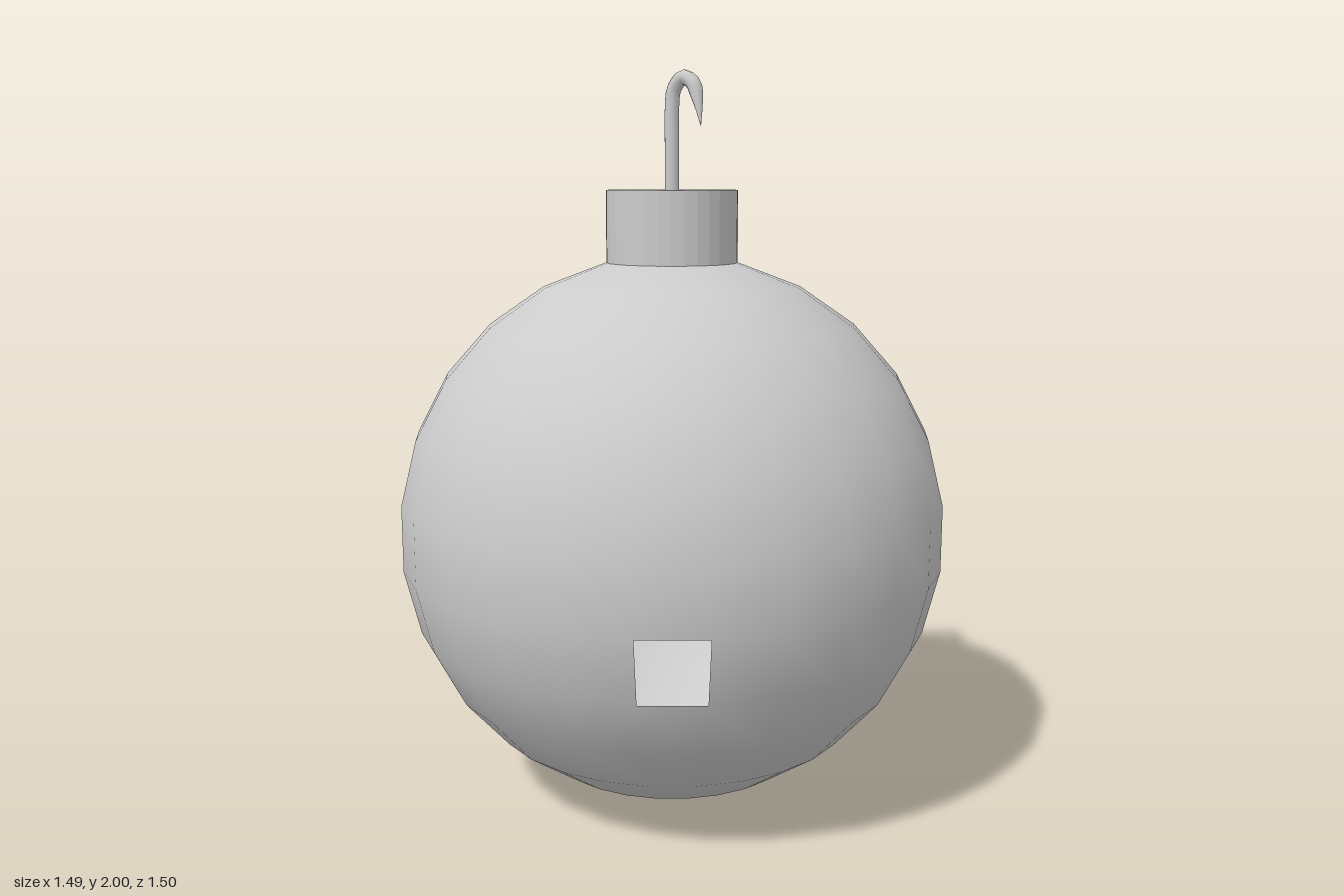
import * as THREE from 'three';

const material = new THREE.MeshStandardMaterial({ color: 0xcccccc, side: THREE.DoubleSide });
const flatMaterial = new THREE.MeshStandardMaterial({ color: 0xcccccc, flatShading: true });

function addMesh(group, name, geometry, mat, y = 0) {
  const mesh = new THREE.Mesh(geometry, mat);
  mesh.name = name;
  mesh.position.y = y;
  group.add(mesh);
}

// Hollow ball with one quad left open on its lower front left
function ballGeometry() {
  const columns = 26, rows = 13, holeColumn = 2, holeRow = 7;
  const geometry = new THREE.SphereGeometry(0.755, columns, rows, Math.PI / 2);
  const index = Array.from(geometry.index.array);
  // the pole row has one triangle per column, the others two
  const start = columns * 3 + (holeRow - 1) * columns * 6 + holeColumn * 6;
  index.splice(start, 6);
  geometry.setIndex(index);
  return geometry;
}

// Bent wire that narrows to a point at its free end
function hookGeometry() {
  const points = [
    [0, 1.67], [0, 1.78], [0, 1.9], [0.007, 1.95], [0.037, 1.979],
    [0.068, 1.962], [0.083, 1.915], [0.093, 1.85],
  ].map(([x, y]) => new THREE.Vector3(x, y, 0));
  const curve = new THREE.CatmullRomCurve3(points);
  const segments = 32, sides = 10;
  const geometry = new THREE.TubeGeometry(curve, segments, 0.02, sides);
  const position = geometry.attributes.position;
  const v = new THREE.Vector3();
  for (let i = 0; i <= segments; i++) {
    const t = i / segments;
    const centre = curve.getPointAt(t);
    const scale = Math.min(1, Math.max(0.01, (1 - t) / 0.2));
    for (let j = 0; j <= sides; j++) {
      const k = i * (sides + 1) + j;
      v.fromBufferAttribute(position, k).sub(centre).multiplyScalar(scale).add(centre);
      position.setXYZ(k, v.x, v.y, v.z);
    }
  }
  return geometry;
}

export function createModel() {
  const group = new THREE.Group();
  group.name = 'ornament';
  addMesh(group, 'ball', ballGeometry(), material, 0.757);
  // Cap sitting on the ball's top ring
  addMesh(group, 'cap', new THREE.CylinderGeometry(0.179, 0.179, 0.2, 32), flatMaterial, 1.585);
  addMesh(group, 'hook', hookGeometry(), material);
  return group;
}
